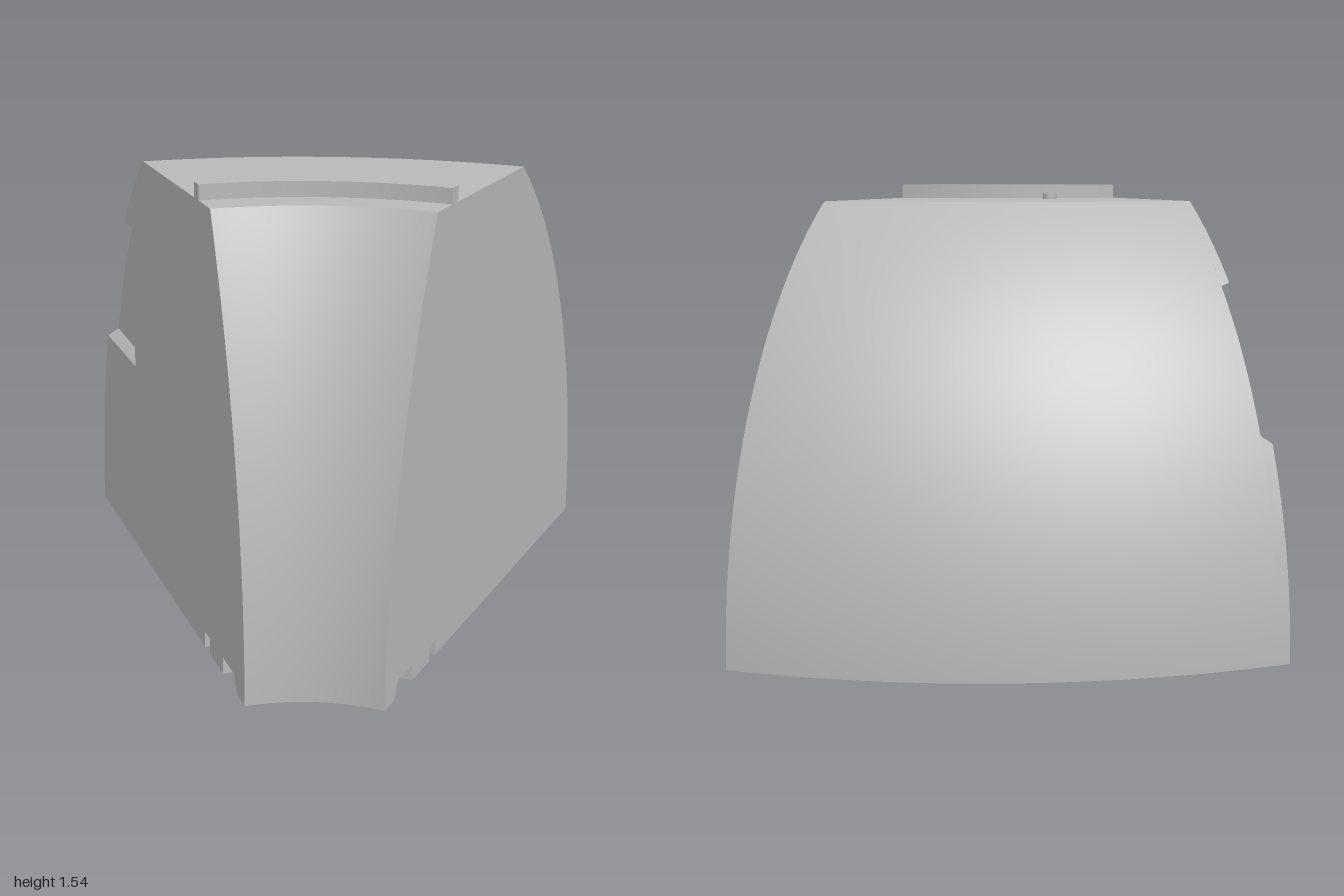
import * as THREE from 'three';
import { mergeGeometries, toCreasedNormals } from 'three/addons/utils/BufferGeometryUtils.js';

// The part is a 45 degree sector swept around a vertical axis at (CX, CZ).
const CX = 0.845, CZ = 1.395, END = Math.PI / 4;
const TOP = 1.49, R_OUT = 2.395, R_GROOVE = 0.985;
const place = (r, y, a) => [CX - r * Math.sin(a), y, CZ - r * Math.cos(a)];

// Radius of the domed outer wall and of the flared inner wall
const outerR = y => R_OUT - 1.59 * (1 - Math.sqrt(1 - (y / 1.78) ** 2));
const innerR = y => 0.56 + 0.325 * (y / TOP) ** 2;

function curve(radius, y0, y1, n) {
  return Array.from({ length: n + 1 }, (_, i) => {
    const y = y0 + (y1 - y0) * i / n;
    return [radius(y), y];
  });
}

// Inner wall running down, then the two grooves under the foot
const innerSide = [
  ...curve(innerR, TOP, 0, 24),
  [0.632, 0], [0.648, 0.015], [0.657, 0.047], [0.672, 0.057], [0.785, 0.057], [0.785, 0],
  [0.93, 0], [0.93, 0.055], [R_GROOVE, 0.055], [R_GROOVE, 0],
];
const fullProfile = [...curve(outerR, 0, TOP, 32), ...innerSide];
const notchedProfile = (low, high) => [
  ...curve(outerR, 0, low, 16), [1.845, low], [1.845, high],
  ...curve(outerR, high, TOP, 10), ...innerSide,
];

// Sweep from profile A to profile B, with optional caps and closing edge
function sweep(profA, profB, a0, a1, n, { start = true, end = true, close = true } = {}) {
  const pos = [], count = profA.length;
  const point = (i, j) => {
    const t = j / n, [ra, ya] = profA[i % count], [rb, yb] = profB[i % count];
    return place(ra + (rb - ra) * t, ya + (yb - ya) * t, a0 + (a1 - a0) * t);
  };
  for (let j = 0; j < n; j++) {
    for (let i = 0; i < (close ? count : count - 1); i++) {
      const a = point(i, j), b = point(i + 1, j), c = point(i, j + 1), d = point(i + 1, j + 1);
      pos.push(...a, ...c, ...b, ...b, ...c, ...d);
    }
  }
  const cap = (prof, j, flip) => {
    const pts = prof.map(p => new THREE.Vector2(...p));
    for (const [a, b, c] of THREE.ShapeUtils.triangulateShape(pts, [])) {
      for (const i of flip ? [a, c, b] : [a, b, c]) pos.push(...point(i, j));
    }
  };
  if (start) cap(profA, 0, false);
  if (end) cap(profB, n, true);
  const geo = new THREE.BufferGeometry();
  geo.setAttribute('position', new THREE.Float32BufferAttribute(pos, 3));
  return geo;
}

export function createModel() {
  const group = new THREE.Group();
  const grey = new THREE.MeshStandardMaterial({ color: 0xb8b8b8 });
  grey.name = 'light grey';
  const add = (name, geo, position = [0, 0, 0]) => {
    const mesh = new THREE.Mesh(geo, grey);
    mesh.name = name;
    mesh.position.set(...position);
    group.add(mesh);
  };

  // Solid sector, plus a thin slice at the slanted face that holds the recess
  const slice = END - 0.0175;
  const body = mergeGeometries([
    sweep(fullProfile, fullProfile, 0, slice, 40, { close: false }),
    sweep(notchedProfile(0.737, 1.21), notchedProfile(0.71, 1.22), slice, END, 1,
      { start: false, close: false }),
  ]);
  add('body', toCreasedNormals(body, 0.5));

  // Underside with a dowel hole
  const arc = (r, from, to) => Array.from({ length: 42 }, (_, i) => {
    const [x, , z] = place(r, 0, from + (to - from) * i / 41);
    return new THREE.Vector2(x, z);
  });
  const dowelAngle = Math.PI / 6, dowelR = 0.025;
  const [hx, , hz] = place(1.687, 0, dowelAngle);
  const floor = new THREE.Shape([...arc(R_OUT, 0, END), ...arc(R_GROOVE, END, 0)]);
  floor.holes.push(new THREE.Path().absarc(hx, hz, dowelR, 0, Math.PI * 2, true));
  add('underside', new THREE.ShapeGeometry(floor, 12).rotateX(Math.PI / 2));

  // Blind hole: an inside-out wall and its end
  const wall = new THREE.CylinderGeometry(dowelR, dowelR, 0.03, 24, 1, true).scale(-1, 1, 1);
  wall.computeVertexNormals();
  add('dowelHoleWall', wall, [hx, 0.015, hz]);
  add('dowelHoleEnd', new THREE.CircleGeometry(dowelR, 24).rotateX(Math.PI / 2), [hx, 0.03, hz]);

  // Raised rim and locating pin on the flat top
  const rim = [[1.055, TOP], [1.055, 1.54], [1.008, 1.54], [1.008, TOP]];
  add('topRim', toCreasedNormals(sweep(rim, rim, 0, END, 40), 0.5));
  add('topPin', new THREE.CylinderGeometry(dowelR, dowelR, 0.02, 24), place(1.19, TOP + 0.01, dowelAngle));

  return group;
}
